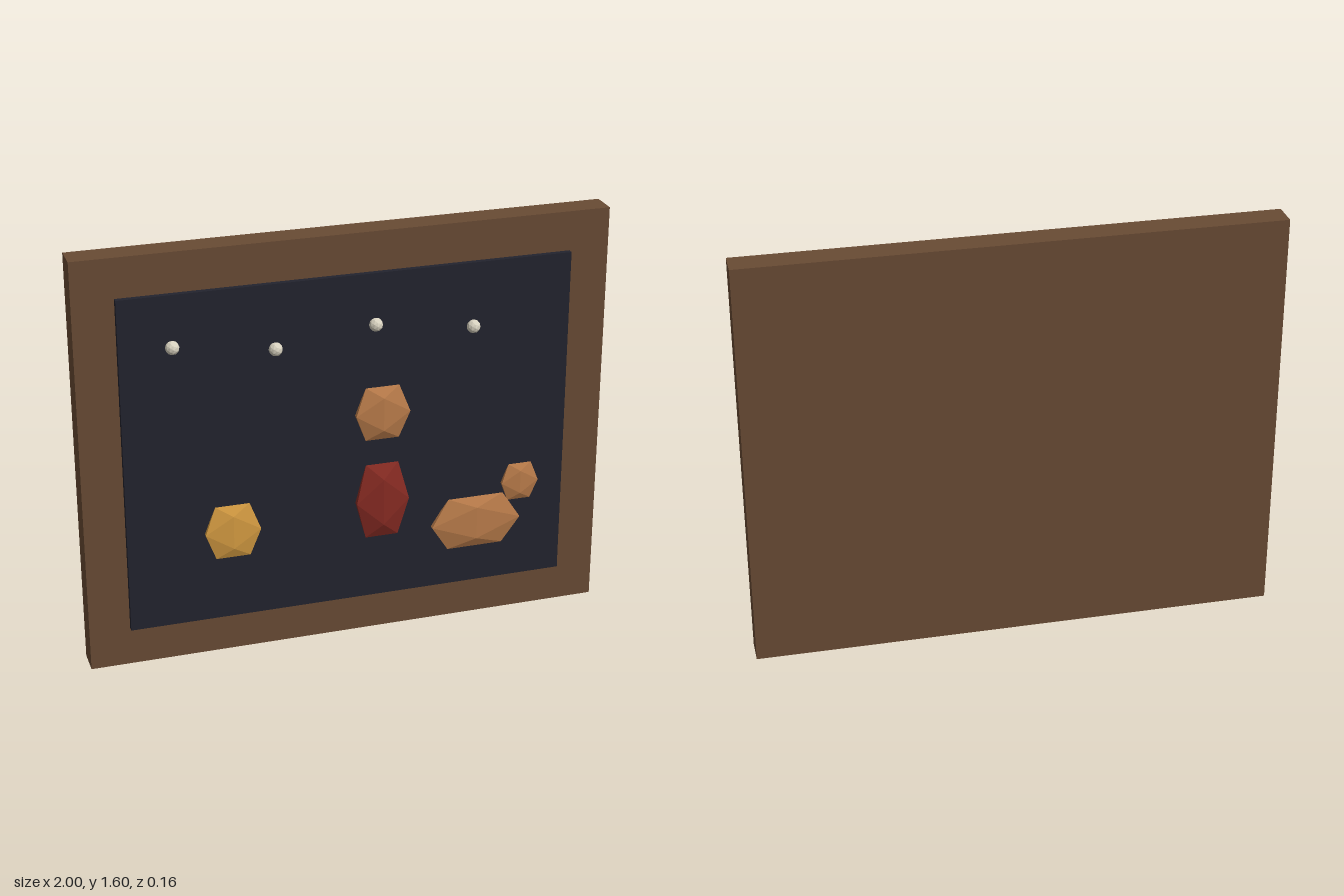
import * as THREE from 'three';

export function createModel() {
  const group = new THREE.Group();
  group.name = 'reliefPanel';
  const mat = (name, color) => {
    const m = new THREE.MeshStandardMaterial({ color });
    m.name = name;
    m.flatShading = true;
    return m;
  };
  const wood = mat('brown wood', 0x694b34);
  const night = mat('night blue', 0x22232e);
  const tan = mat('tan', 0xbb7d4b);
  const red = mat('dark red', 0x872b23);
  const gold = mat('gold', 0xd59c42);
  const silver = mat('pale silver', 0xd8d2c0);

  const add = (name, geometry, material, x, y, z) => {
    const mesh = new THREE.Mesh(geometry, material);
    mesh.name = name;
    mesh.position.set(x, y, z);
    group.add(mesh);
    return mesh;
  };

  // Wooden board with the raised dark field
  add('frame', new THREE.BoxGeometry(2, 1.6, 0.104), wood, 0, 0.8, -0.027);
  add('background', new THREE.BoxGeometry(1.695, 1.3, 0.06), night, 0, 0.8, 0.016);

  // Flattened icosahedra, sized by their half extents
  const reach = 0.8507;
  const gem = (name, material, x, y, hx, hy, hz) =>
    add(name, new THREE.IcosahedronGeometry(1, 0), material, x, y, 0.051)
      .scale.set(hx / reach, hy / reach, hz / reach);

  gem('figureHead', tan, 0.122, 0.905, 0.104, 0.105, 0.021);
  gem('figureBody', red, 0.122, 0.55, 0.102, 0.15, 0.026);
  gem('lantern', gold, -0.453, 0.505, 0.105, 0.106, 0.016);
  gem('animalBody', tan, 0.497, 0.405, 0.177, 0.105, 0.021);
  gem('animalHead', tan, 0.672, 0.55, 0.073, 0.075, 0.014);

  // Row of small stars, alternating in height
  for (let i = 0; i < 4; i++) {
    add('star', new THREE.IcosahedronGeometry(0.026, 1), silver,
      -0.655 + i * 0.375, i % 2 ? 1.205 : 1.255, 0.05);
  }
  return group;
}
